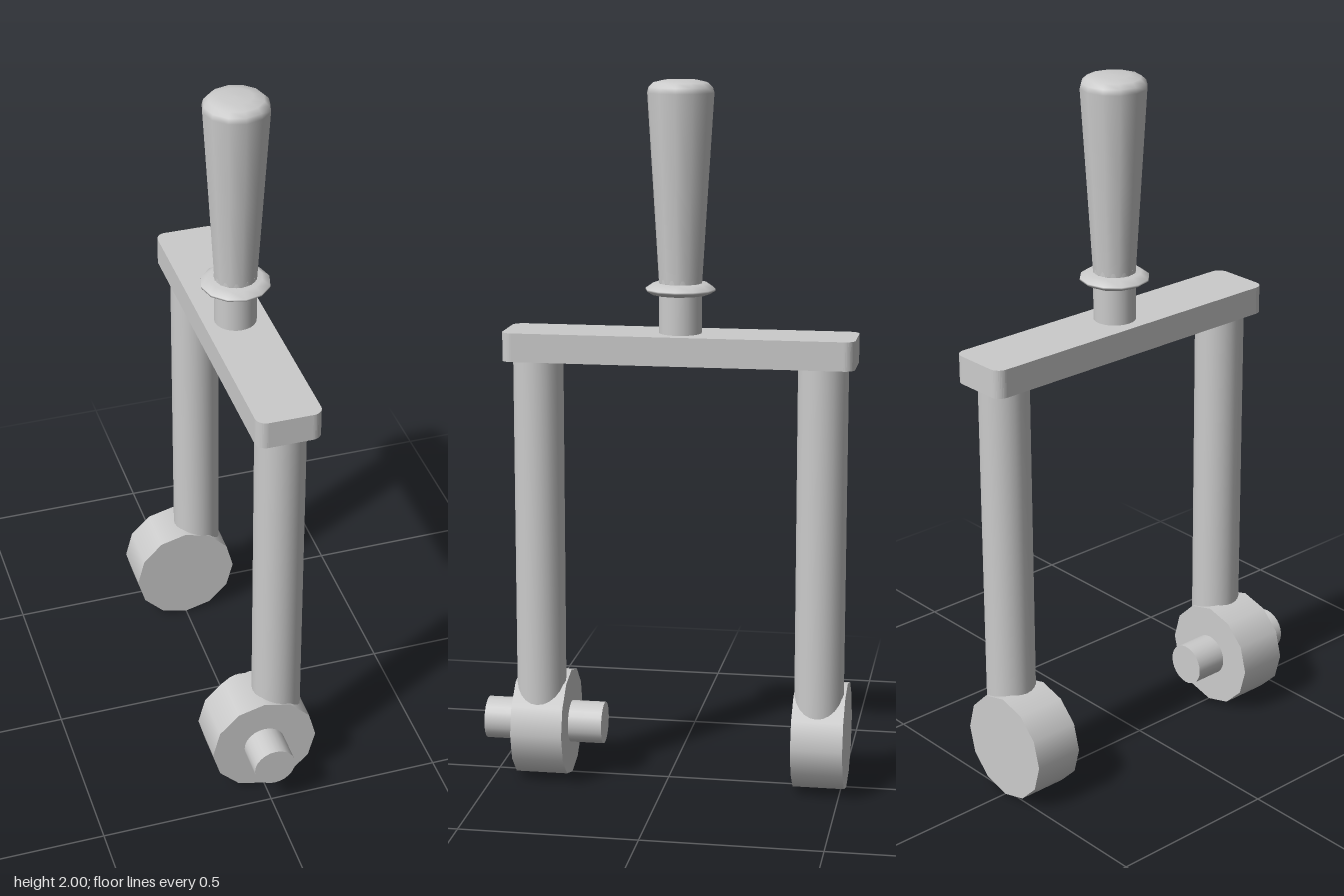
import * as THREE from 'three';

const material = new THREE.MeshStandardMaterial({ color: 0xcccccc });
const STEM_X = 0.056; // legs, plate and handle share this offset from the wheel axis
const HANDLE_Z = -0.042;
const WHEEL_R = 0.154;

export function createModel() {
  const model = new THREE.Group();
  model.name = 'twinWheelFork';

  function add(name, geometry, x, y, z) {
    const mesh = new THREE.Mesh(geometry, material);
    mesh.name = name;
    mesh.position.set(x, y, z);
    model.add(mesh);
    return mesh;
  }

  // Upright cylinder between two heights
  const upright = (name, r, y0, y1, z) =>
    add(name, new THREE.CylinderGeometry(r, r, y1 - y0, 24), STEM_X, (y0 + y1) / 2, z);

  // Cylinder lying along z between two depths, centred on the wheel axis
  const lying = (name, r, z0, z1, sides) =>
    add(name, new THREE.CylinderGeometry(r, r, z1 - z0, sides).rotateX(Math.PI / 2), 0, WHEEL_R, (z0 + z1) / 2);

  // Legs running down into the wheels
  upright('frontLeg', 0.07, 0.154, 1.24, 0.359);
  upright('rearLeg', 0.07, 0.154, 1.24, -0.438);

  // Twelve-sided wheels and the axle through the front one
  lying('frontWheel', WHEEL_R, 0.284, 0.432, 12);
  lying('rearWheel', WHEEL_R, -0.514, -0.368, 12);
  lying('frontAxle', 0.06, 0.187, 0.53, 24);

  // Bridge plate with rounded corners
  const w = 0.091, d = 0.488, r = 0.03;
  const outline = new THREE.Shape();
  outline.absarc(w - r, d - r, r, 0, Math.PI / 2);
  outline.absarc(-w + r, d - r, r, Math.PI / 2, Math.PI);
  outline.absarc(-w + r, -d + r, r, Math.PI, Math.PI * 1.5);
  outline.absarc(w - r, -d + r, r, Math.PI * 1.5, Math.PI * 2);
  const plate = new THREE.ExtrudeGeometry(outline, { depth: 0.08, bevelEnabled: false, curveSegments: 5 });
  add('bridgePlate', plate.rotateX(-Math.PI / 2), STEM_X, 1.23, HANDLE_Z);

  // Handle: neck, collar and tapered grip with a domed end
  const turned = (name, profile) =>
    add(name, new THREE.LatheGeometry(profile.map(([x, y]) => new THREE.Vector2(x, y)), 12), STEM_X, 0, HANDLE_Z);
  upright('handleNeck', 0.059, 1.3, 1.46, HANDLE_Z);
  turned('handleCollar', [[0, 1.418], [0.08, 1.418], [0.097, 1.428], [0.097, 1.433], [0.075, 1.448], [0, 1.45]]);
  turned('handleGrip', [
    [0, 1.44], [0.06, 1.44], [0.06, 1.45], [0.076, 1.71], [0.092, 1.965],
    [0.088, 1.98], [0.075, 1.992], [0.045, 1.999], [0, 2],
  ]);

  return model;
}
